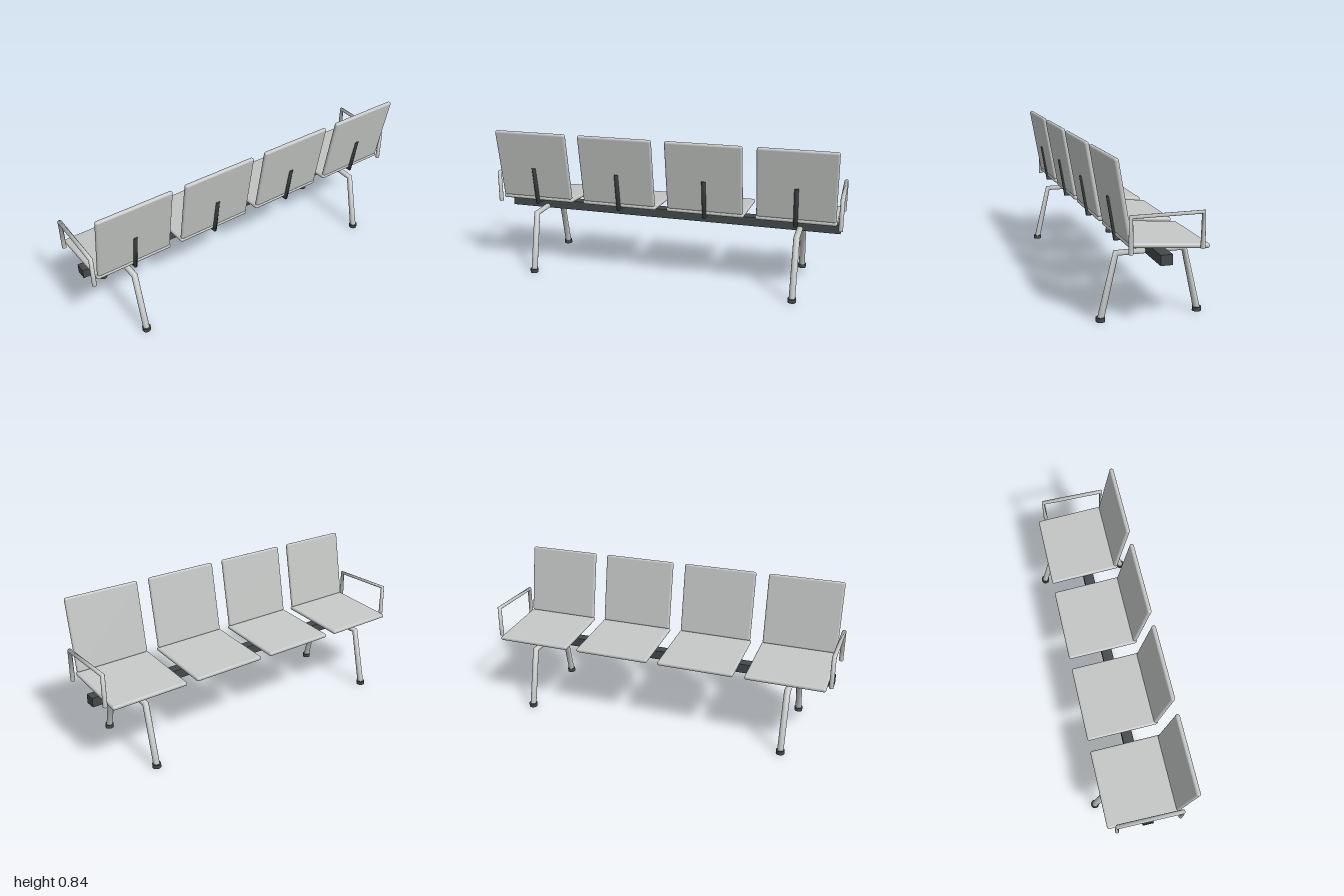
import * as THREE from 'three';
import { RoundedBoxGeometry } from 'three/addons/geometries/RoundedBoxGeometry.js';

const metal = new THREE.MeshStandardMaterial({ color: 0xc4c7c5 });
metal.name = 'lightGrey';
const dark = new THREE.MeshStandardMaterial({ color: 0x43494b });
dark.name = 'charcoal';

// Polyline in the xy plane, with one ring of the tube on each corner's bisector
class BentPath extends THREE.Curve {
  constructor(points) {
    super();
    this.points = points.map(([x, y]) => new THREE.Vector3(x, y, 0));
  }
  getPoint(t) {
    const n = this.points.length - 1;
    const i = Math.min(Math.floor(t * n + 1e-6), n - 1);
    return this.points[i].clone().lerp(this.points[i + 1], t * n - i);
  }
  getPointAt(u) { return this.getPoint(u); }
  getTangentAt(u) {
    const p = this.points, n = p.length - 1, i = Math.round(u * n);
    const dir = (k) => p[k + 1].clone().sub(p[k]).normalize();
    return dir(Math.max(i - 1, 0)).add(dir(Math.min(i, n - 1))).normalize();
  }
}

function add(parent, name, geometry, material, x = 0, y = 0, z = 0) {
  const mesh = new THREE.Mesh(geometry, material);
  mesh.name = name;
  mesh.position.set(x, y, z);
  parent.add(mesh);
  return mesh;
}

// Bent tube with closed ends
function bentTube(parent, name, points, radius, material, z = 0) {
  const group = new THREE.Group();
  group.name = name;
  group.position.z = z;
  const path = new BentPath(points);
  add(group, name + 'Tube', new THREE.TubeGeometry(path, points.length - 1, radius, 16), material);
  for (const end of [0, 1]) {
    const out = path.getTangentAt(end).multiplyScalar(end ? 1 : -1);
    const p = path.getPointAt(end);
    const cap = add(group, name + 'Cap', new THREE.CircleGeometry(radius, 16), material, p.x, p.y, p.z);
    cap.quaternion.setFromUnitVectors(new THREE.Vector3(0, 0, 1), out);
  }
  parent.add(group);
}

export function createModel() {
  const bench = new THREE.Group();
  bench.name = 'fourSeatBench';

  // Beam running the length of the bench
  add(bench, 'beam', new THREE.BoxGeometry(0.06, 0.052, 1.968), dark, 0, 0.359, 0);

  // Four seats, each with a backrest and a bent bracket
  const panGeo = new RoundedBoxGeometry(0.408, 0.024, 0.437, 4, 0.0115);
  const backGeo = new RoundedBoxGeometry(0.024, 0.404, 0.426, 4, 0.0115);
  for (const z of [-0.75, -0.25, 0.25, 0.75]) {
    const seat = new THREE.Group();
    seat.name = 'seat';
    seat.position.z = z;
    add(seat, 'seatPan', panGeo, metal, -0.022, 0.4205, 0).rotation.z = THREE.MathUtils.degToRad(5);
    add(seat, 'backrest', backGeo, metal, 0.204, 0.644, 0).rotation.z = THREE.MathUtils.degToRad(-10);
    bentTube(seat, 'bracket', [[-0.077, 0.405], [0.178, 0.413], [0.211, 0.627]], 0.012, dark);
    bench.add(seat);
  }

  // Armrests and leg frames, mirrored at both ends
  for (const side of [-1, 1]) {
    bentTube(bench, 'armrest',
      [[-0.177, 0.403], [-0.177, 0.578], [0.177, 0.578], [0.177, 0.403]], 0.012, metal, side * 0.988);
    bentTube(bench, 'legFrame',
      [[-0.255, 0.01], [-0.177, 0.343], [0.177, 0.343], [0.255, 0.01]], 0.0175, metal, side * 0.761);
    for (const x of [-0.255, 0.255]) {
      add(bench, 'foot', new THREE.CylinderGeometry(0.0235, 0.0235, 0.022, 20), dark, x, 0.011, side * 0.761);
    }
  }
  return bench;
}
